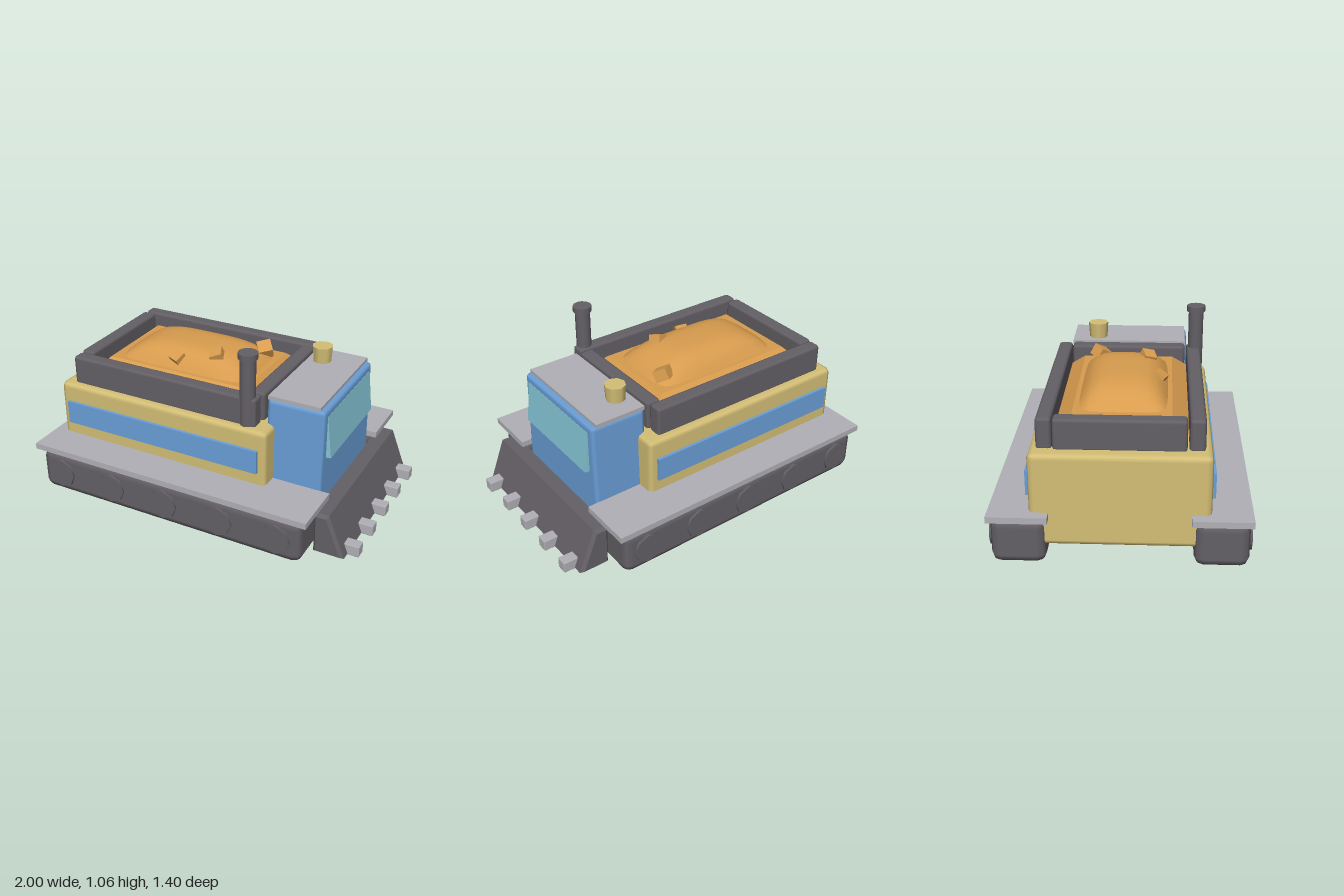
import * as THREE from 'three';
import { RoundedBoxGeometry } from 'three/addons/geometries/RoundedBoxGeometry.js';

const paint = (name, color) => {
  const m = new THREE.MeshStandardMaterial({ color });
  m.name = name;
  return m;
};

export function createModel() {
  const dark = paint('dark grey', 0x646066);
  const yellow = paint('sand yellow', 0xd4bf76);
  const blue = paint('blue', 0x6a9fd8);
  const glass = paint('teal glass', 0x86c6d6);
  const steel = paint('steel grey', 0xb0b0b6);
  const ore = paint('orange ore', 0xd89c4e);

  const model = new THREE.Group();
  model.name = 'trackedHauler';

  const add = (name, geometry, material, x = 0, y = 0, z = 0) => {
    const mesh = new THREE.Mesh(geometry, material);
    mesh.name = name;
    mesh.position.set(x, y, z);
    model.add(mesh);
    return mesh;
  };
  // Box given by its limits; a radius chamfers the edges
  const block = (name, material, [x0, x1], [y0, y1], [z0, z1], r = 0) => {
    const size = [x1 - x0, y1 - y0, z1 - z0];
    const geometry = r ? new RoundedBoxGeometry(...size, 1, r) : new THREE.BoxGeometry(...size);
    return add(name, geometry, material, (x0 + x1) / 2, (y0 + y1) / 2, (z0 + z1) / 2);
  };
  const span = (a, b, s) => (s > 0 ? [a, b] : [-b, -a]);

  // Tracks, wheels, fenders and side stripes, mirrored
  for (const s of [1, -1]) {
    block('track', dark, [-0.97, 0.74], [0, 0.262], span(0.39, 0.685, s), 0.05);
    block('fender', steel, [-1, 0.775], [0.262, 0.298], span(0.375, 0.698, s));
    block('sideStripe', blue, [-0.89, 0.383], [0.375, 0.517], span(0.46, 0.498, s));
    for (let i = 0; i < 5; i++) {
      const wheel = new THREE.CylinderGeometry(0.09, 0.09, 0.06, 8);
      wheel.rotateX(Math.PI / 2);
      add('wheel', wheel, dark, -0.825 + i * 0.355, 0.135, s * 0.669);
    }
    block('hopperSideWall', dark, [-0.86, 0.345], [0.62, 0.8], span(0.355, 0.44, s), 0.018);
  }

  // Main body and hopper end walls
  block('body', yellow, [-0.94, 0.43], [0.1, 0.632], [-0.48, 0.48], 0.032);
  block('hopperRearWall', dark, [-0.87, -0.782], [0.62, 0.8], [-0.352, 0.345], 0.018);
  block('hopperFrontWall', dark, [0.267, 0.356], [0.62, 0.8], [-0.352, 0.345], 0.018);

  // Hopper bed: a slab whose top tapers inward
  const bed = new THREE.BoxGeometry(1.06, 0.08, 0.72);
  const bp = bed.attributes.position;
  for (let i = 0; i < bp.count; i++) {
    if (bp.getY(i) > 0) bp.setXYZ(i, bp.getX(i) * 0.86, 0.04, bp.getZ(i) * 0.74);
  }
  bed.computeVertexNormals();
  add('hopperBed', bed, ore, -0.257, 0.72, 0);

  // Heaped load
  const heap = new THREE.PlaneGeometry(0.91, 0.53, 16, 12);
  heap.rotateX(-Math.PI / 2);
  const hp = heap.attributes.position;
  for (let i = 0; i < hp.count; i++) {
    const u = hp.getX(i) / 0.455, v = hp.getZ(i) / 0.265;
    hp.setY(i, 0.148 * (1 - u ** 4) * (1 - v ** 4));
  }
  heap.computeVertexNormals();
  add('oreHeap', heap, ore, -0.255, 0.72, 0);

  // Loose lumps in the load
  for (const [x, y, z, size, turn] of [
    [-0.06, 0.85, 0.125, 0.075, 0.4],
    [-0.285, 0.815, 0.195, 0.07, 1.2],
    [0.11, 0.81, -0.16, 0.085, 2.2],
  ]) {
    const lump = add('oreLump', new THREE.BoxGeometry(size, size * 0.8, size), ore, x, y, z);
    lump.rotation.set(0.3, turn, 0.25);
  }

  // Cab, narrowing toward the roof
  const cab = new RoundedBoxGeometry(0.345, 0.68, 0.77, 1, 0.026);
  const cp = cab.attributes.position;
  for (let i = 0; i < cp.count; i++) {
    cp.setZ(i, cp.getZ(i) * (0.965 - 0.1 * cp.getY(i)));
  }
  add('cab', cab, blue, 0.548, 0.44, 0);
  block('cabRoof', steel, [0.378, 0.69], [0.774, 0.798], [-0.358, 0.348]);
  const windshield = add('windshield', new THREE.BoxGeometry(0.028, 0.252, 0.635), glass, 0.722, 0.61, 0);
  windshield.rotation.z = 0.11;

  // Beacon and exhaust stack
  add('beacon', new THREE.CylinderGeometry(0.062, 0.056, 0.095, 8), yellow, 0.465, 0.845, -0.203);
  add('exhaustPipe', new THREE.CylinderGeometry(0.045, 0.045, 0.41, 12), dark, 0.285, 0.83, 0.41);
  add('exhaustCap', new THREE.CylinderGeometry(0.056, 0.056, 0.034, 12), dark, 0.285, 1.046, 0.41);

  // Front blade with teeth
  const profile = new THREE.Shape([
    [0.77, 0.02], [0.915, 0.02], [0.825, 0.243], [0.765, 0.243],
  ].map(([x, y]) => new THREE.Vector2(x, y)));
  const blade = new THREE.ExtrudeGeometry(profile, {
    depth: 1.04, bevelEnabled: true, bevelSegments: 1, bevelSize: 0.017, bevelThickness: 0.02,
  });
  add('blade', blade, dark, 0, 0, -0.52);
  for (let i = -2; i <= 2; i++) {
    const z = i * 0.217;
    block('bladeTooth', steel, [0.9, 1], [0, 0.068], [z - 0.033, z + 0.033], 0.006);
  }
  return model;
}
